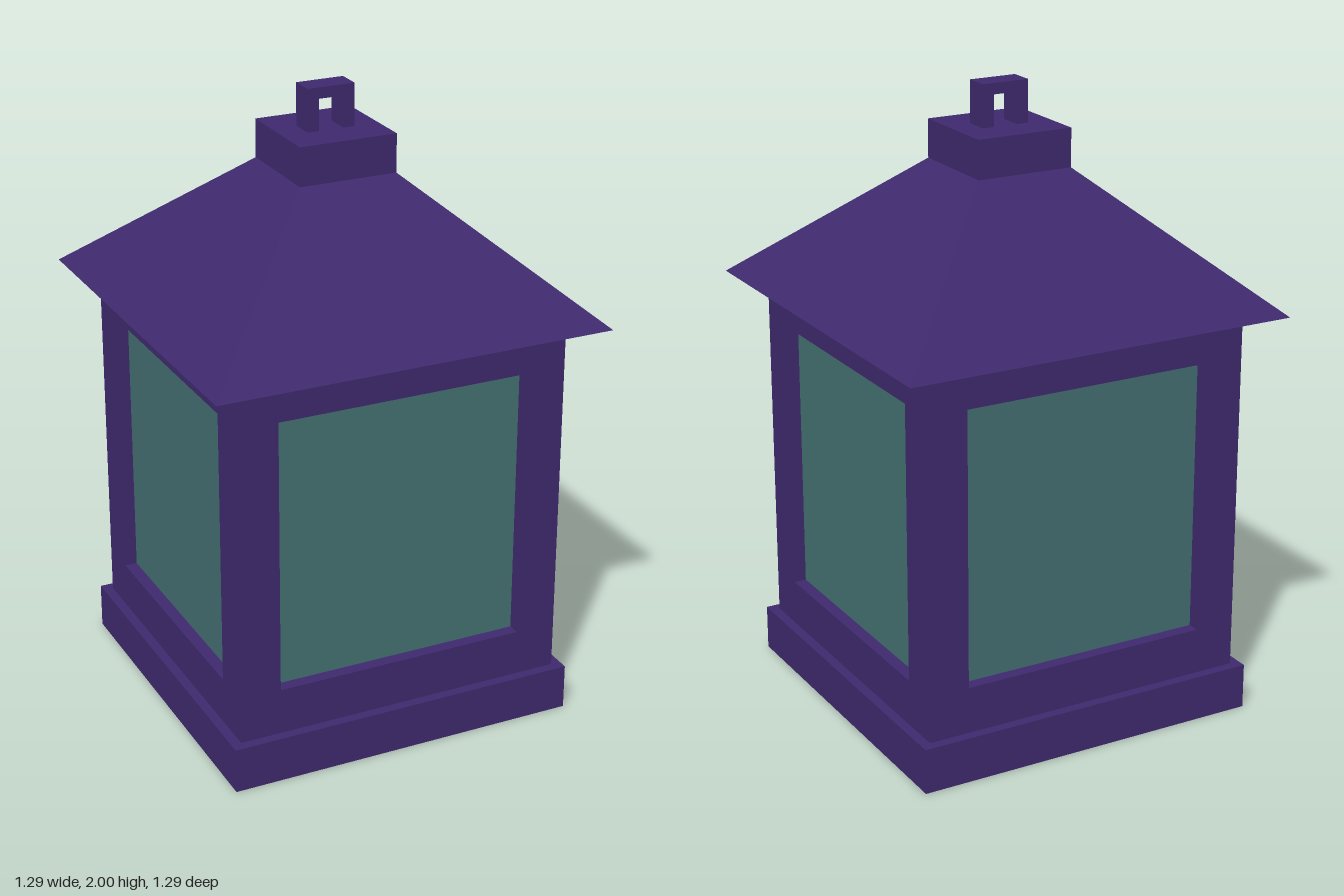
import * as THREE from 'three';

const metal = new THREE.MeshStandardMaterial({ color: 0x3f2a6e, flatShading: true });
const glass = new THREE.MeshStandardMaterial({ color: 0x447072, flatShading: true });

function add(parent, name, geometry, material, x = 0, y = 0, z = 0) {
  const mesh = new THREE.Mesh(geometry, material);
  mesh.name = name;
  mesh.position.set(x, y, z);
  parent.add(mesh);
  return mesh;
}

// Rectangular plate with a rectangular opening, extruded towards +z
function framePlate(halfW, y0, y1, holeHalfW, holeY0, holeY1, depth) {
  const rect = (P, w, a, b) => new P([[-w, a], [w, a], [w, b], [-w, b]].map(([x, y]) => new THREE.Vector2(x, y)));
  const shape = rect(THREE.Shape, halfW, y0, y1);
  shape.holes.push(rect(THREE.Path, holeHalfW, holeY0, holeY1));
  return new THREE.ExtrudeGeometry(shape, { depth, bevelEnabled: false });
}

export function createModel() {
  const lantern = new THREE.Group();
  lantern.name = 'lantern';

  // Plinth
  add(lantern, 'base', new THREE.BoxGeometry(1.15, 0.147, 1.15), metal, 0, 0.0735, 0);

  // Four walls, each an open frame with a recessed pane
  const half = 0.543, wall = 0.04;
  for (let i = 0; i < 4; i++) {
    const side = new THREE.Group();
    side.name = ['front', 'left', 'back', 'right'][i] + 'Wall';
    side.rotation.y = i * Math.PI / 2;
    const w = i % 2 ? half - wall : half;
    add(side, 'windowFrame', framePlate(w, 0.147, 1.32, 0.41, 0.297, 1.185, wall), metal, 0, 0, half - wall);
    add(side, 'windowPane', new THREE.BoxGeometry(0.84, 0.91, 0.02), glass, 0, 0.741, half - wall - 0.01);
    lantern.add(side);
  }

  // Square roof with sharp eaves and a chimney block on top
  const profile = [[0, 1.317], [0.543, 1.317], [0.645, 1.323], [0.16, 1.742], [0.16, 1.865], [0, 1.865]];
  const roof = new THREE.LatheGeometry(
    profile.map(([x, y]) => new THREE.Vector2(x * Math.SQRT2, y)), 4, Math.PI / 4).toNonIndexed();
  roof.computeVertexNormals();
  add(lantern, 'roof', roof, metal);

  // Hanging loop
  const loop = new THREE.Group();
  loop.name = 'hangingLoop';
  for (const s of [-1, 1]) add(loop, 'loopPost', new THREE.BoxGeometry(0.038, 0.1, 0.08), metal, s * 0.059, 1.915, 0);
  add(loop, 'loopBar', new THREE.BoxGeometry(0.156, 0.035, 0.08), metal, 0, 1.9825, 0);
  lantern.add(loop);

  return lantern;
}
